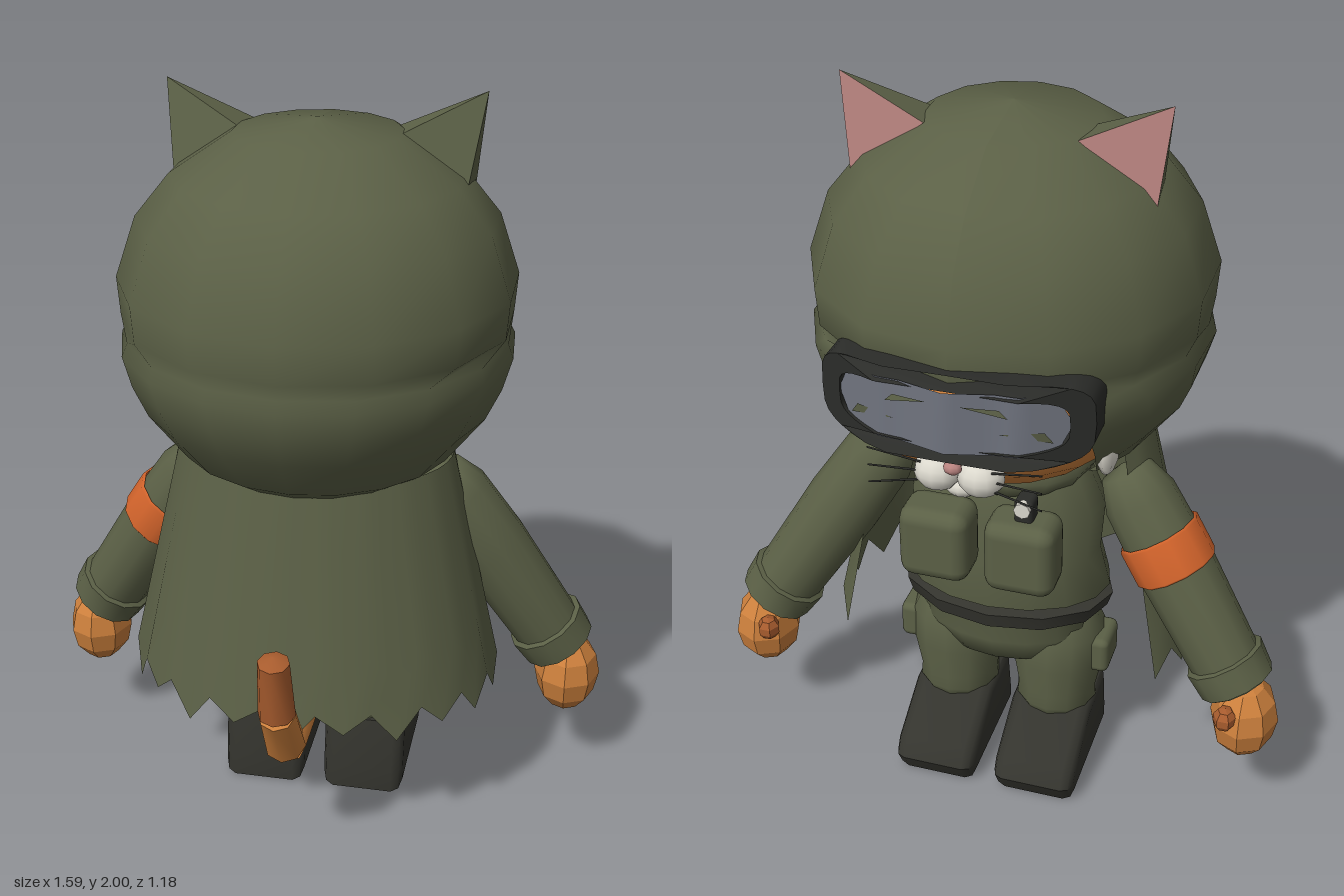
import * as THREE from 'three';
import { toCreasedNormals } from 'three/addons/utils/BufferGeometryUtils.js';
import { RoundedBoxGeometry } from 'three/addons/geometries/RoundedBoxGeometry.js';

const material = (name, color) => {
  const m = new THREE.MeshStandardMaterial({ color, side: THREE.DoubleSide });
  m.name = name;
  return m;
};
const V = (x, y, z) => new THREE.Vector3(x, y, z);
const rad = THREE.MathUtils.degToRad;

// Surface from a rule fn(u, v) -> [x, y, z]
function grid(nu, nv, fn) {
  const pos = [], idx = [];
  for (let j = 0; j <= nv; j++) for (let i = 0; i <= nu; i++) pos.push(...fn(i / nu, j / nv, i, j));
  for (let j = 0; j < nv; j++) for (let i = 0; i < nu; i++) {
    const a = j * (nu + 1) + i, b = a + nu + 1;
    idx.push(a, a + 1, b + 1, a, b + 1, b);
  }
  const g = new THREE.BufferGeometry();
  g.setAttribute('position', new THREE.Float32BufferAttribute(pos, 3));
  g.setIndex(idx);
  g.computeVertexNormals();
  return g;
}

// Flat triangles from corner triples
function triangles(corners) {
  const g = new THREE.BufferGeometry().setFromPoints(corners);
  g.computeVertexNormals();
  return g;
}

const lathe = (profile, sides) => new THREE.LatheGeometry(profile.map(([r, y]) => new THREE.Vector2(r, y)), sides);

// Turned shape along a line; profile is [radius, fraction of length]
function limb(a, b, profile, sides = 10) {
  const dir = b.clone().sub(a), len = dir.length();
  const g = lathe(profile.map(([r, t]) => [r, t * len]), sides);
  g.applyQuaternion(new THREE.Quaternion().setFromUnitVectors(V(0, 1, 0), dir.normalize()));
  return g.translate(a.x, a.y, a.z);
}

function ball(x, y, z, rx, ry, rz, ws = 12, hs = 8) {
  return new THREE.SphereGeometry(1, ws, hs).scale(rx, ry, rz).translate(x, y, z);
}

const faceted = (g) => { const f = g.toNonIndexed(); f.computeVertexNormals(); return f; };

export function createModel() {
  const group = new THREE.Group();
  const olive = material('olive cloth', 0x5b6046);
  const boot = material('boot black', 0x34342e);
  const rubber = material('frame black', 0x2b2c29);
  const fur = material('orange fur', 0xcb7f3c);
  const darkFur = material('dark orange fur', 0xa85c2e);
  const band = material('armband orange', 0xd5652c);
  const white = material('white fur', 0xdbd8cd);
  const pink = material('pink', 0xb98480);
  const glass = material('lens grey', 0x70747f);
  const add = (name, geo, mat) => {
    const m = new THREE.Mesh(geo, mat);
    m.name = name;
    group.add(m);
    return m;
  };

  // Hood: rings of [height, radius, face opening in degrees]
  const rings = [[1.04, 0.3, 55], [1.08, 0.36, 51], [1.2, 0.45, 42], [1.28, 0.485, 38], [1.36, 0.505, 34], [1.39, 0.488, 30],
    [1.43, 0.498, 0], [1.53, 0.505, 0], [1.69, 0.452, 0], [1.8, 0.365, 0], [1.905, 0.21, 0], [1.94, 0, 0]];
  add('hood', grid(14, rings.length - 1, (u, v, i, j) => {
    const [y, r, open] = rings[j];
    const t = (2 * u - 1) * rad(180 - open);
    return [1.026 * r * Math.sin(t), y, -0.025 + 1.04 * r * Math.cos(t)];
  }), olive);

  // Head and face
  add('head', ball(0, 1.28, -0.12, 0.4, 0.28, 0.4, 18, 12), fur);
  add('chin', ball(0, 1.11, -0.455, 0.045, 0.03, 0.04), white);
  add('nose', ball(0, 1.2, -0.525, 0.024, 0.018, 0.02, 8, 6), pink);
  for (const s of [-1, 1]) {
    add('muzzle', ball(s * 0.055, 1.155, -0.475, 0.06, 0.052, 0.055), white);
    add('cheekTuft', ball(s * 0.315, 1.17, -0.26, 0.03, 0.09, 0.06, 8, 6), white);
    for (let k = 0; k < 3; k++) {
      const y = 1.135 + k * 0.025;
      add('whisker', limb(V(s * 0.09, y, -0.5), V(s * 0.22, y - 0.02 + k * 0.025, -0.52), [[0.004, 0], [0.003, 1]], 4), rubber);
    }
  }

  // Ears with pink fronts
  for (const s of [-1, 1]) {
    const tip = V(s * 0.41, 2.0, -0.115), a = V(s * 0.19, 1.9, -0.14), b = V(s * 0.385, 1.76, -0.14);
    const c = V(s * 0.2, 1.9, -0.03), d = V(s * 0.375, 1.77, -0.025);
    const shell = [tip, a, c, tip, c, d, tip, d, b], inner = [tip, b, a];
    add('ear', triangles(s > 0 ? shell : shell.reverse()), olive);
    add('innerEar', triangles(s > 0 ? inner : inner.reverse()), pink);
  }

  // Goggles: frame and lens wrapped round the head
  const wrap = (x) => -0.57 + 0.5 * Math.max(0, Math.abs(x) - 0.17);
  const outline = (w, h) => Array.from({ length: 32 }, (_, i) => {
    const t = (i / 32) * Math.PI * 2, c = Math.cos(t), s = Math.sin(t);
    return new THREE.Vector2(w * Math.sign(c) * Math.abs(c) ** 0.5, h * Math.sign(s) * Math.abs(s) ** 0.5);
  });
  const ringShape = new THREE.Shape(outline(0.34, 0.118));
  ringShape.holes.push(new THREE.Path(outline(0.285, 0.075)));
  const frame = new THREE.ExtrudeGeometry(ringShape, { depth: 0.1, bevelEnabled: false });
  const fp = frame.attributes.position;
  for (let i = 0; i < fp.count; i++) fp.setZ(i, fp.getZ(i) + wrap(fp.getX(i)));
  frame.translate(0, 1.36, 0);
  add('goggleFrame', toCreasedNormals(frame, rad(40)), rubber);
  const lensZ = (x) => wrap(x) + 0.01 - 0.03 * Math.max(0, 1 - Math.abs(x) / 0.12);
  add('goggleLens', grid(20, 2, (u, v) => {
    const k = 2 * u - 1, x = -0.29 * k;
    return [x, 1.36 + 0.082 * (2 * v - 1) * (1 - k ** 8) ** 0.5, lensZ(x)];
  }), glass);
  for (const s of [-1, 1]) {
    const p = (x, y) => V(s * x, y, lensZ(x) - 0.006);
    const glint = [p(0.04, 1.41), p(0.15, 1.385), p(0.13, 1.405), p(0.13, 1.34), p(0.25, 1.315), p(0.23, 1.345)];
    add('lensMark', triangles(s > 0 ? glint : glint.reverse()), olive);
  }

  // Cape with a jagged hem, open at the front
  add('cape', grid(28, 4, (u, v, i) => {
    const t = (2 * u - 1) * rad(118);
    const hem = i % 2 ? 0.46 : 0.385 + 0.02 * Math.sin(i * 1.7);
    return [(0.51 - 0.14 * v) * Math.sin(t), hem + (1.07 - hem) * v, (0.4 - 0.12 * v) * Math.cos(t)];
  }), olive);

  // Torso, vest hem and belt
  const torso = lathe([[0, 0.36], [0.2, 0.38], [0.25, 0.46], [0.24, 0.58], [0.29, 0.6], [0.26, 0.72], [0.27, 0.86], [0.22, 0.98], [0.16, 1.06]], 16);
  add('torso', torso.scale(1, 1, 0.68).translate(0, 0, -0.08), olive);
  const belt = lathe([[0.22, 0.525], [0.285, 0.53], [0.3, 0.575], [0.22, 0.59]], 12);
  add('vestHem', toCreasedNormals(belt.scale(1, 1, 0.66).translate(0, 0, -0.085), rad(35)), boot);
  add('collar', new THREE.TorusGeometry(0.19, 0.05, 6, 14).rotateX(Math.PI / 2).scale(1, 1, 0.8).translate(0, 0.99, -0.08), olive);
  for (const s of [-1, 1]) {
    add('chestPouch', new RoundedBoxGeometry(0.19, 0.21, 0.14, 2, 0.04).translate(s * 0.115, 0.84, -0.32), olive);
    add('thighPocket', new RoundedBoxGeometry(0.06, 0.11, 0.13, 2, 0.02).translate(s * 0.275, 0.385, -0.08), olive);
  }
  add('torch', new RoundedBoxGeometry(0.05, 0.07, 0.06, 2, 0.012).translate(-0.12, 0.97, -0.315), rubber);
  add('torchLamp', new THREE.CylinderGeometry(0.022, 0.022, 0.02, 8).rotateX(Math.PI / 2).translate(-0.12, 0.985, -0.345), white);

  // Legs and boots
  const sole = new THREE.Shape([[-0.03, 0.03], [0.3, 0.03], [0.317, 0.06], [0.3, 0.09], [0.14, 0.18], [-0.01, 0.19], [-0.03, 0.07]]
    .map(([x, y]) => new THREE.Vector2(x, y)));
  for (const s of [-1, 1]) {
    add('leg', limb(V(s * 0.145, 0.18, -0.09), V(s * 0.15, 0.5, -0.07),
      [[0.1, 0], [0.115, 0.08], [0.112, 0.2], [0.13, 0.5], [0.13, 0.8], [0.1, 1]], 12), olive);
    const g = new THREE.ExtrudeGeometry(sole, { depth: 0.17, bevelThickness: 0.03, bevelSize: 0.03, bevelSegments: 2 });
    g.translate(0, 0, -0.085).rotateY(Math.PI / 2).translate(s * 0.145, 0, 0);
    add('boot', toCreasedNormals(g, rad(50)), boot);
  }

  // Arms, cuffs, hands and thumbs
  for (const s of [-1, 1]) {
    const a = V(s * 0.33, 0.96, -0.08), b = V(s * 0.675, 0.42, -0.175);
    add('arm', limb(a, b, [[0, -0.06], [0.07, -0.03], [0.1, 0.1], [0.107, 0.4], [0.1, 0.75], [0.095, 1]], 12), olive);
    add('cuff', toCreasedNormals(limb(a, b, [[0.09, 0.86], [0.112, 0.87], [0.106, 0.99], [0.06, 0.99]], 12), rad(35)), olive);
    if (s < 0) add('armband', limb(a, b, [[0.108, 0.26], [0.115, 0.27], [0.115, 0.43], [0.108, 0.44]], 12), band);
    add('hand', faceted(ball(s * 0.7, 0.325, -0.185, 0.093, 0.118, 0.108, 8, 6)), fur);
    add('thumb', faceted(ball(s * 0.66, 0.37, -0.27, 0.033, 0.035, 0.036, 6, 5)), darkFur);
  }

  // Tail in jointed sections, darker towards the tip
  const path = [V(0, 0.43, 0.06), V(0, 0.365, 0.25), V(0, 0.385, 0.42), V(0, 0.54, 0.515), V(0, 0.73, 0.55)];
  const radii = [0.04, 0.05, 0.056, 0.05, 0.042];
  for (let i = 0; i < 4; i++) {
    const last = i === 3;
    const profile = [[0, -0.05], [radii[i], 0], [radii[i + 1], last ? 0.9 : 1], [0, last ? 1 : 1.05]];
    add('tail', toCreasedNormals(limb(path[i], path[i + 1], profile, 8), rad(50)), last ? darkFur : fur);
  }
  return group;
}
